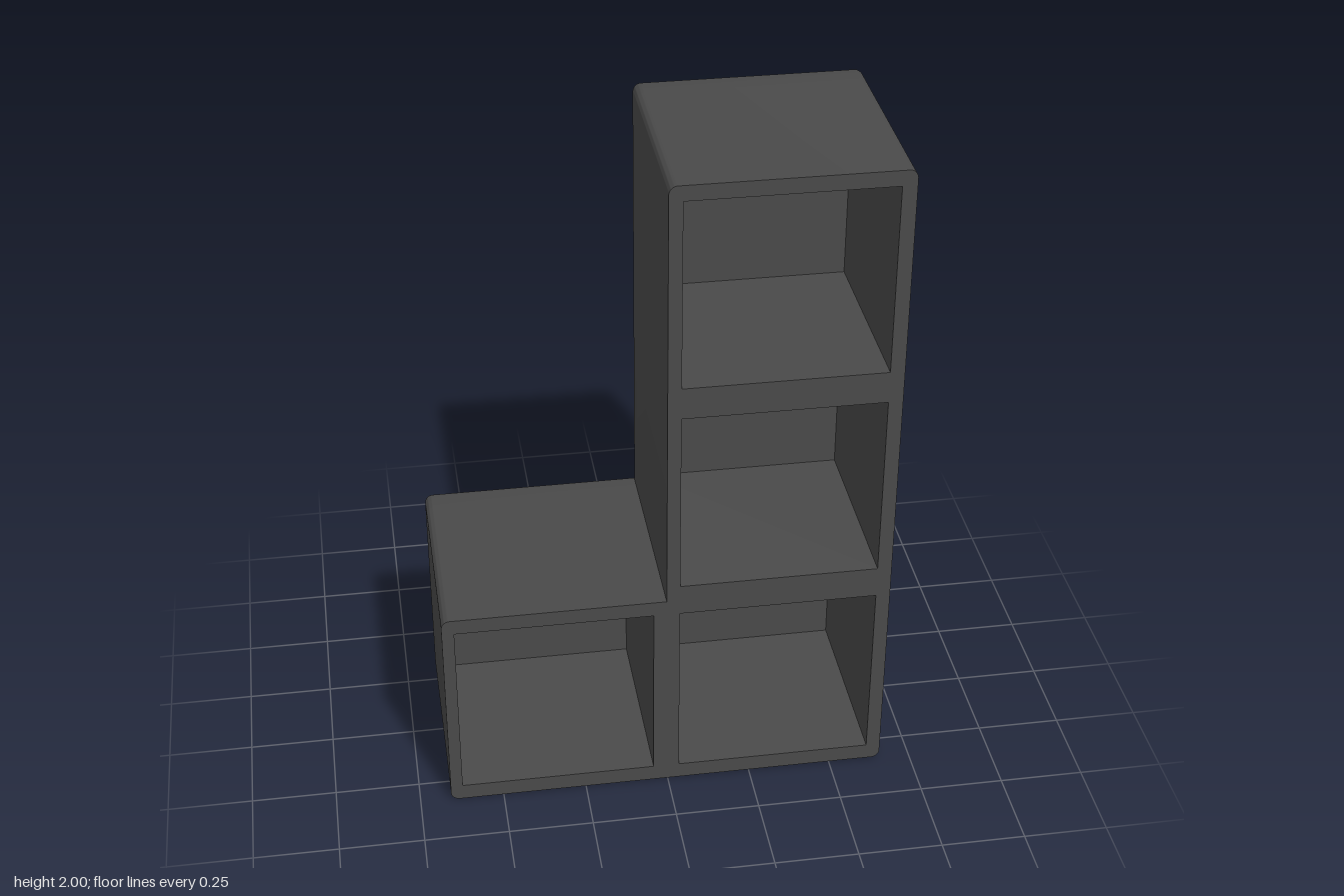
import * as THREE from 'three';
import { toCreasedNormals } from 'three/addons/utils/BufferGeometryUtils.js';

const FRONT = 0.333, BACK = -0.333, FLOOR = -0.25; // z of the rim, the rear face and the cubby backs
const R = 0.025, BEVEL = 0.02;

// L-shaped outline with softened outer corners and a sharp inner corner
function outline() {
  const s = new THREE.Shape();
  const q = Math.PI / 2;
  s.absarc(-0.658 + R, R, R, 2 * q, 3 * q);
  s.absarc(0.658 - R, R, R, 3 * q, 4 * q);
  s.absarc(0.658 - R, 2 - R, R, 0, q);
  s.absarc(-0.005 + R, 2 - R, R, q, 2 * q);
  s.lineTo(-0.005, 0.667);
  s.absarc(-0.658 + R, 0.667 - R, R, q, 2 * q);
  s.closePath();
  return s;
}

function rectHole(x0, x1, y0, y1) {
  return new THREE.Path([[x0, y0], [x0, y1], [x1, y1], [x1, y0]]
    .map(([x, y]) => new THREE.Vector2(x, y))).closePath();
}

export function createModel() {
  const group = new THREE.Group();
  group.name = 'cubbyShelf';
  const charcoal = new THREE.MeshStandardMaterial({ color: 0x4a4a4a });
  charcoal.name = 'charcoal';

  const add = (name, geometry) => {
    const mesh = new THREE.Mesh(toCreasedNormals(geometry, 0.6), charcoal);
    mesh.name = name;
    group.add(mesh);
  };

  // Walls and dividers: one square opening low on the right, three stacked on the left
  const shape = outline();
  shape.holes.push(rectHole(-0.622, -0.043, 0.05, 0.62));
  for (let i = 0; i < 3; i++) {
    const y = 0.05 + i * 0.667;
    shape.holes.push(rectHole(0.034, 0.616, y, y + 0.57));
  }
  const walls = new THREE.ExtrudeGeometry(shape, {
    depth: FRONT - FLOOR, bevelEnabled: false, curveSegments: 5,
  });
  walls.translate(0, 0, FLOOR);
  add('shelfWalls', walls);

  // Back panel: rounded rear edge, front bevel flattened against the walls
  const back = new THREE.ExtrudeGeometry(outline(), {
    depth: FLOOR - BACK - BEVEL, curveSegments: 5, bevelSegments: 4,
    bevelSize: BEVEL, bevelThickness: BEVEL, bevelOffset: -BEVEL,
  });
  back.translate(0, 0, BACK + BEVEL);
  const p = back.attributes.position;
  for (let i = 0; i < p.count; i++) p.setZ(i, Math.min(p.getZ(i), FLOOR));
  add('backPanel', back);

  return group;
}
